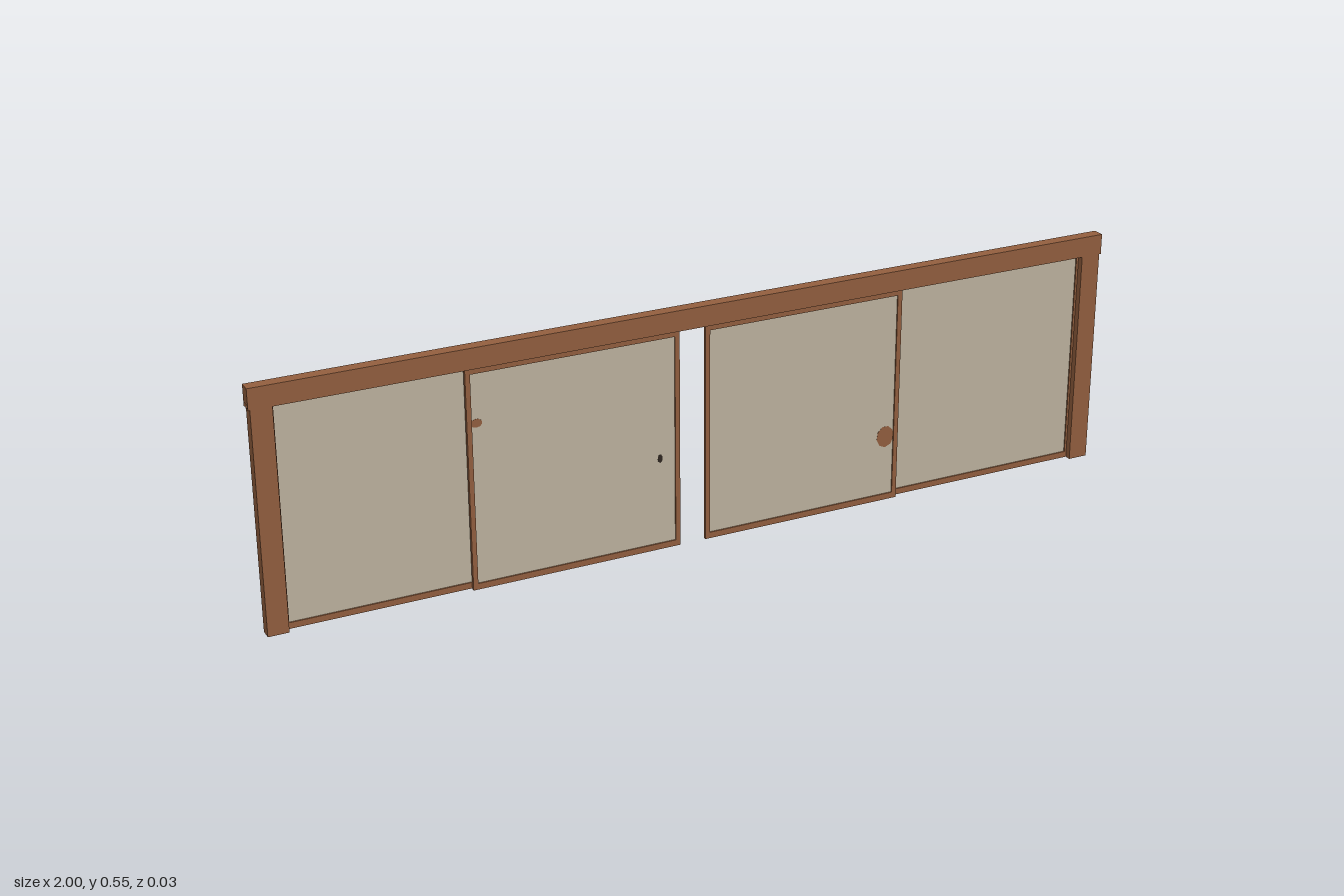
import * as THREE from 'three';

export function createModel() {
  const model = new THREE.Group();
  model.name = 'slidingScreens';
  const wood = new THREE.MeshStandardMaterial({ color: 0x935f3f });
  wood.name = 'brown wood';
  const paper = new THREE.MeshStandardMaterial({ color: 0xbfb4a0 });
  paper.name = 'screen paper';
  const dark = new THREE.MeshStandardMaterial({ color: 0x2e2620 });
  dark.name = 'dark pull';

  // Box given by its minimum and maximum corners
  function box(parent, name, mat, x0, x1, y0, y1, z0, z1) {
    const mesh = new THREE.Mesh(new THREE.BoxGeometry(x1 - x0, y1 - y0, z1 - z0), mat);
    mesh.position.set((x0 + x1) / 2, (y0 + y1) / 2, (z0 + z1) / 2);
    mesh.name = name;
    parent.add(mesh);
    return mesh;
  }

  // Fixed frame: side posts and a header with two sliding grooves below
  const frame = new THREE.Group();
  frame.name = 'frame';
  model.add(frame);
  const D = 0.0138, headY = 0.503, grooveY = 0.513, topY = 0.55;
  box(frame, 'rightPost', wood, -0.996, -0.95, 0, headY, -0.0132, 0.0132);
  box(frame, 'leftPost', wood, 0.95, 0.996, 0, headY, -0.0132, 0.0132);
  box(frame, 'header', wood, -1, 1, grooveY, topY, -D, D);
  box(frame, 'headerFrontLip', wood, -1, 1, headY, grooveY, 0.0105, D);
  box(frame, 'headerBackLip', wood, -1, 1, headY, grooveY, -D, -0.0105);
  box(frame, 'headerDivider', wood, -1, 1, headY, grooveY, -0.0008, 0.0008);

  // Sliding panel: two stiles, two rails and a paper sheet
  function panel(name, x0, x1, z, railY) {
    const group = new THREE.Group();
    group.name = name;
    const s = 0.011, h = 0.0042, top = 0.512;
    box(group, 'stile', wood, x0, x0 + s, 0, top, z - h, z + h);
    box(group, 'stile', wood, x1 - s, x1, 0, top, z - h, z + h);
    box(group, 'bottomRail', wood, x0 + s, x1 - s, 0, 0.014, z - h, z + h);
    box(group, 'topRail', wood, x0 + s, x1 - s, railY, top, z - h, z + h);
    box(group, 'paperSheet', paper, x0 + s, x1 - s, 0.014, railY, z - 0.001, z + 0.001);
    model.add(group);
    return group;
  }
  const front = 0.0055, back = -0.0055;
  panel('rightOuterPanel', -0.956, -0.485, back, 0.498);
  const rightInner = panel('rightInnerPanel', -0.546, -0.062, front, 0.491);
  const leftInner = panel('leftInnerPanel', -0.001, 0.481, front, 0.491);
  panel('leftOuterPanel', 0.469, 0.956, back, 0.498);

  // Small worn patches and the pull, showing on both sides of the paper
  function patch(parent, name, mat, x, y, rx, ry) {
    const geo = new THREE.CylinderGeometry(1, 1, 0.0026, 9).rotateX(Math.PI / 2).scale(rx, ry, 1);
    const mesh = new THREE.Mesh(geo, mat);
    mesh.position.set(x, y, front);
    mesh.name = name;
    parent.add(mesh);
  }
  patch(leftInner, 'wornPatch', wood, 0.45, 0.155, 0.022, 0.026);
  patch(rightInner, 'smallWornPatch', wood, -0.524, 0.38, 0.013, 0.01);
  patch(rightInner, 'pull', dark, -0.108, 0.215, 0.006, 0.01);

  return model;
}
